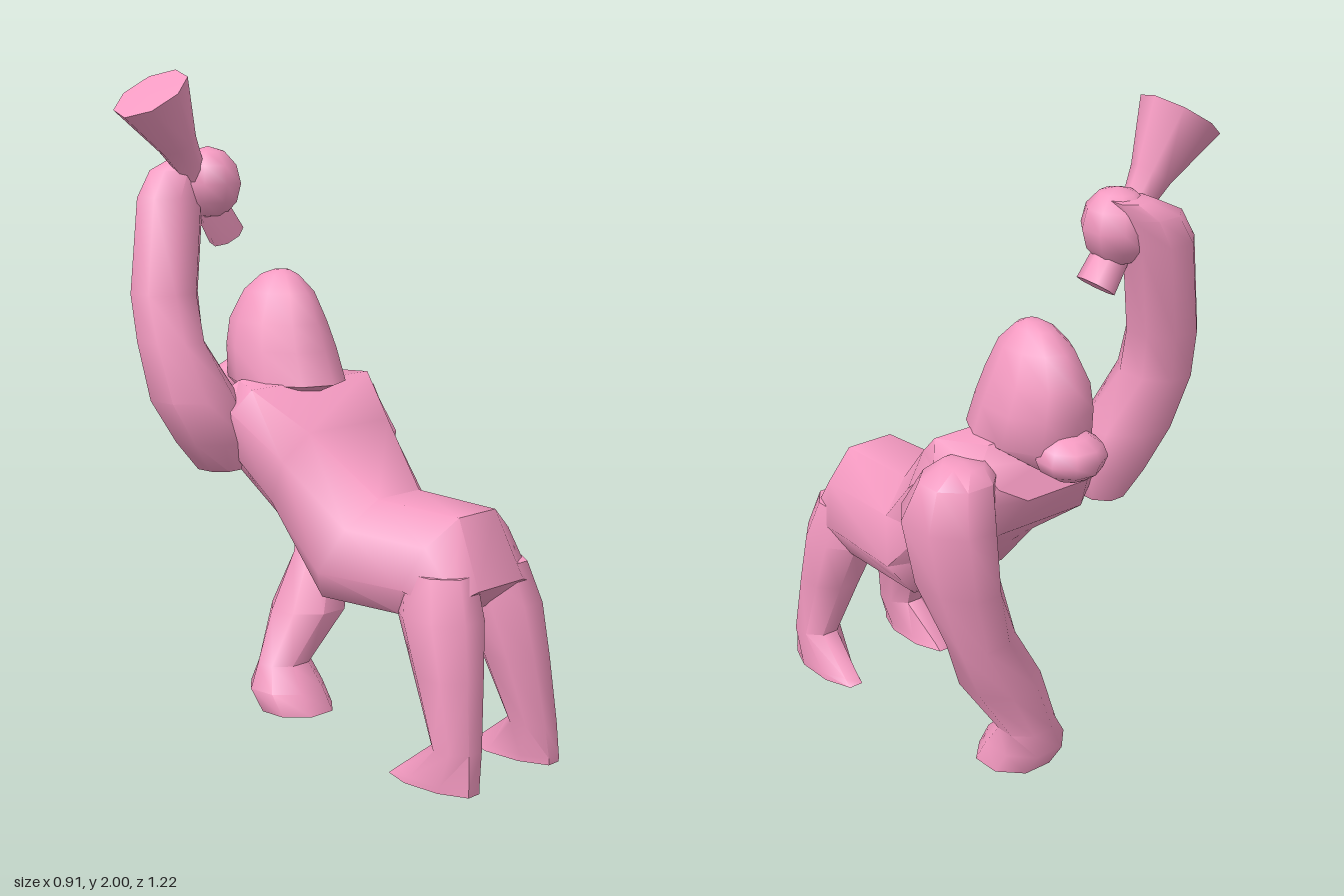
import * as THREE from 'three';
import { toCreasedNormals } from 'three/addons/utils/BufferGeometryUtils.js';

const CX = 0.055; // centre line of the body

// Skin a list of rings (arrays of [x, y, z]) and cap both ends.
function loft(rings) {
  const tris = [];
  const n = rings[0].length;
  const mid = (r) => [0, 1, 2].map((k) => r.reduce((s, p) => s + p[k], 0) / n);
  const first = rings[0], last = rings[rings.length - 1];
  const a = mid(first), b = mid(last);
  for (let i = 0; i < n; i++) {
    const j = (i + 1) % n;
    for (let r = 0; r + 1 < rings.length; r++) {
      const lo = rings[r], hi = rings[r + 1];
      tris.push([lo[i], lo[j], hi[j]], [lo[i], hi[j], hi[i]]);
    }
    tris.push([a, first[j], first[i]], [b, last[i], last[j]]);
  }
  // Signed volume tells whether the faces point outward
  let volume = 0;
  for (const [p, q, s] of tris) {
    volume += new THREE.Vector3(...p).dot(new THREE.Vector3(...q).cross(new THREE.Vector3(...s)));
  }
  if (volume < 0) tris.forEach((t) => t.reverse());
  const geo = new THREE.BufferGeometry();
  geo.setAttribute('position', new THREE.Float32BufferAttribute(tris.flat(2), 3));
  return toCreasedNormals(geo, 1.0);
}

// Horizontal ring spanning x0..x1 and z0..z1 at height y
function ring([y, x0, x1, z0, z1], n = 8) {
  const grow = 1 / Math.cos(Math.PI / n);
  return Array.from({ length: n }, (_, i) => {
    const t = ((i + 0.5) / n) * Math.PI * 2;
    return [
      (x0 + x1) / 2 + (Math.cos(t) * grow * (x1 - x0)) / 2, y,
      (z0 + z1) / 2 + (Math.sin(t) * grow * (z1 - z0)) / 2,
    ];
  });
}

// Tilted torso ring: top and bottom [z, y], half widths from top to bottom
function torsoRing([zt, yt, zb, yb, ...w]) {
  const at = (t, x) => [CX + x, yb + (yt - yb) * t, zb + (zt - zb) * t];
  const heights = [1, 0.73, 0.3, 0];
  const side = heights.map((t, i) => at(t, w[i]));
  const other = heights.map((t, i) => at(t, -w[i])).reverse();
  return [...side, ...other];
}

export function createModel() {
  const group = new THREE.Group();
  const skin = new THREE.MeshStandardMaterial({ color: 0xf49ac1 });
  const add = (name, geo, parent = group) => {
    const mesh = new THREE.Mesh(geo, skin);
    mesh.name = name;
    parent.add(mesh);
    return mesh;
  };
  const limb = (name, rows, n) => add(name, loft(rows.map((r) => ring(r, n))));
  const ball = (name, x, y, z, rx, ry, rz) => {
    const mesh = add(name, new THREE.SphereGeometry(1, 9, 6));
    mesh.position.set(x, y, z);
    mesh.scale.set(rx, ry, rz);
    return mesh;
  };

  // Torso from rump to chest
  add('torso', loft([
    [0.55, 0.56, 0.47, 0.48, 0.1, 0.17, 0.18, 0.12],
    [0.46, 0.755, 0.33, 0.47, 0.08, 0.185, 0.225, 0.18],
    [0.16, 0.765, 0.01, 0.46, 0.09, 0.19, 0.235, 0.17],
    [-0.04, 0.945, -0.17, 0.65, 0.17, 0.25, 0.24, 0.14],
    [-0.2, 1.065, -0.37, 0.8, 0.25, 0.29, 0.24, 0.15],
    [-0.34, 1.07, -0.44, 0.92, 0.17, 0.22, 0.19, 0.11],
  ].map(torsoRing)));

  // Hind legs with wedge feet
  for (const s of [-1, 1]) {
    const rows = [
      [0, 0.125, 0.238, 0.31, 0.61],
      [0.02, 0.125, 0.238, 0.335, 0.61],
      [0.12, 0.105, 0.237, 0.465, 0.605],
      [0.32, 0.065, 0.235, 0.38, 0.585],
      [0.48, 0.03, 0.232, 0.31, 0.565],
      [0.6, 0.03, 0.2, 0.3, 0.525],
    ].map(([y, a, b, z0, z1]) => [y, CX + s * a, CX + s * b, z0, z1]);
    limb(s < 0 ? 'rightLeg' : 'leftLeg', rows);
  }

  // Supporting arm with its fist on the ground
  limb('leftArm', [
    [0, -0.02, 0.2, -0.41, -0.19],
    [0.07, -0.035, 0.19, -0.45, -0.22],
    [0.14, 0.01, 0.18, -0.44, -0.29],
    [0.31, 0.06, 0.29, -0.45, -0.22],
    [0.48, 0.16, 0.36, -0.43, -0.27],
    [0.67, 0.21, 0.42, -0.455, -0.17],
    [0.87, 0.22, 0.455, -0.455, -0.15],
    [1.0, 0.22, 0.43, -0.43, -0.23],
    [1.04, 0.25, 0.36, -0.39, -0.27],
  ]);

  // Raised arm
  limb('rightArm', [
    [0.81, -0.25, -0.13, -0.42, -0.28],
    [0.9, -0.32, -0.1, -0.46, -0.25],
    [1.03, -0.39, -0.13, -0.5, -0.26],
    [1.2, -0.39, -0.21, -0.55, -0.33],
    [1.34, -0.385, -0.19, -0.575, -0.38],
    [1.62, -0.325, -0.13, -0.605, -0.42],
    [1.7, -0.28, -0.1, -0.59, -0.43],
    [1.745, -0.19, -0.08, -0.55, -0.45],
  ]);
  ball('rightHand', -0.13, 1.66, -0.45, 0.1, 0.11, 0.105);

  // Head: tall crown, brow and muzzle
  limb('head', [
    [0.99, 0.0, 0.11, -0.48, -0.28],
    [1.06, -0.095, 0.205, -0.5, -0.115],
    [1.16, -0.085, 0.195, -0.51, -0.15],
    [1.24, -0.065, 0.175, -0.505, -0.18],
    [1.33, -0.03, 0.14, -0.455, -0.22],
    [1.38, 0.01, 0.1, -0.395, -0.27],
    [1.395, 0.035, 0.075, -0.35, -0.3],
  ], 10);
  ball('muzzle', CX, 1.045, -0.49, 0.105, 0.07, 0.1);

  // Flared club held across the hand
  const profile = [
    [0, 0], [0.057, 0], [0.052, 0.1], [0.042, 0.25],
    [0.06, 0.34], [0.12, 0.52], [0, 0.53],
  ].map(([x, y]) => new THREE.Vector2(x, y));
  const club = add('club', toCreasedNormals(new THREE.LatheGeometry(profile, 8), 0.9));
  club.position.set(-0.062, 1.5, -0.445);
  club.rotation.z = Math.atan2(0.3, 0.435);

  return group;
}
